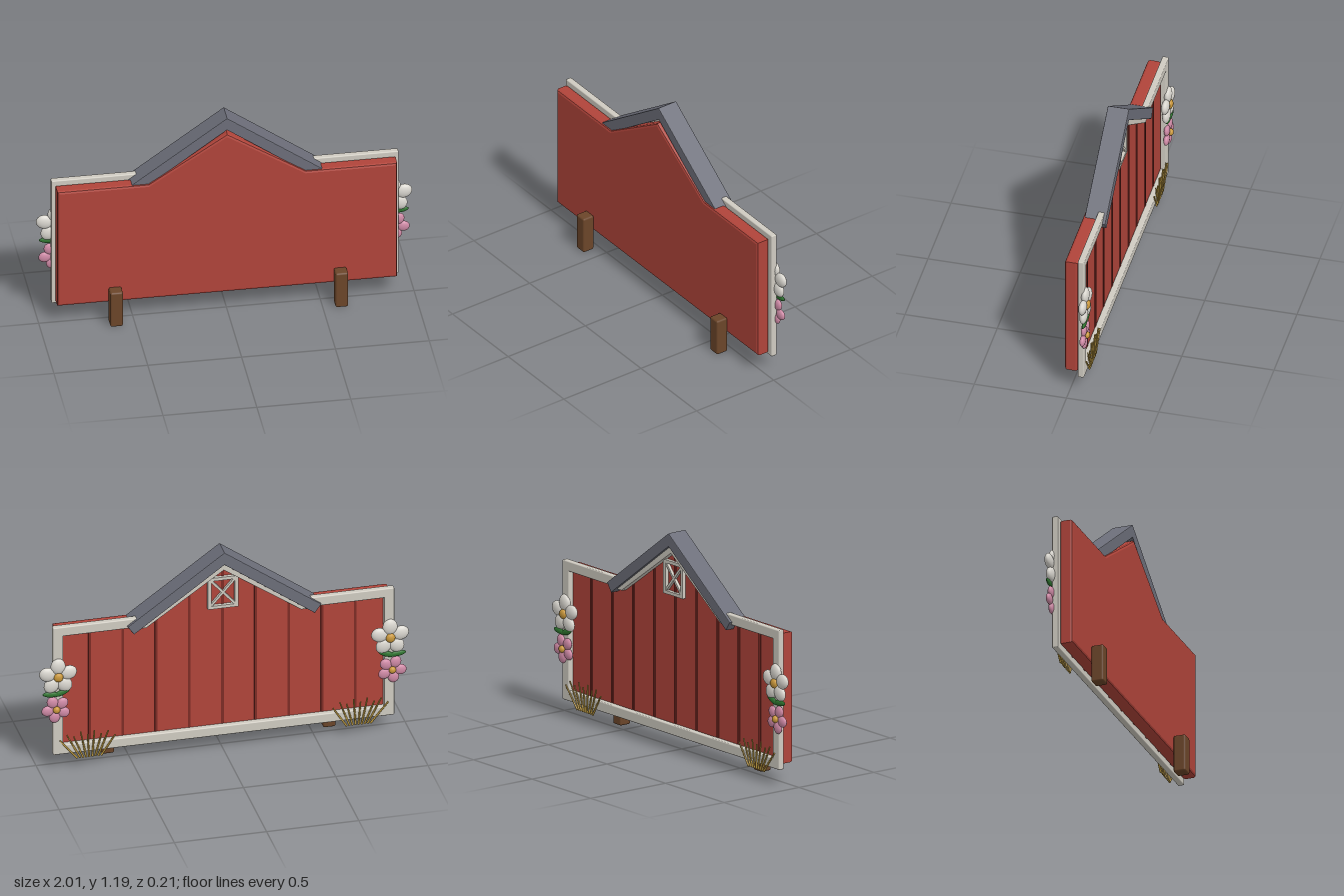
import * as THREE from 'three';
import { RoundedBoxGeometry } from 'three/addons/geometries/RoundedBoxGeometry.js';

const paint = (name, color) => {
  const m = new THREE.MeshStandardMaterial({ color });
  m.name = name;
  return m;
};

export function createModel() {
  const red = paint('barn red', 0xb0443a);
  const darkRed = paint('seam red', 0x7c2b25);
  const white = paint('trim white', 0xcfcbc1);
  const petalWhite = paint('petal white', 0xdad7d0);
  const grey = paint('roof grey', 0x6c6e79);
  const brown = paint('post brown', 0x6b4529);
  const pink = paint('petal pink', 0xcf8aa6);
  const gold = paint('flower gold', 0xc9973a);
  const green = paint('leaf green', 0x2f7530);
  const straw = paint('straw', 0xb8963f);

  const model = new THREE.Group();
  const add = (name, geometry, material, x = 0, y = 0, z = 0, parent = model) => {
    const mesh = new THREE.Mesh(geometry, material);
    mesh.name = name;
    mesh.position.set(x, y, z);
    parent.add(mesh);
    return mesh;
  };

  // Extrudes an outline between two depths with bevelled edges kept inside the outline
  const slab = (name, points, z0, z1, bevel, material) => {
    const shape = new THREE.Shape(points.map(([x, y]) => new THREE.Vector2(x, y)));
    const geometry = new THREE.ExtrudeGeometry(shape, {
      depth: z1 - z0 - 2 * bevel, bevelEnabled: true, bevelThickness: bevel,
      bevelSize: bevel, bevelOffset: -bevel, bevelSegments: 2,
    });
    return add(name, geometry, material, 0, 0, z0 + bevel);
  };
  const rail = (name, w, h, x, y) =>
    add(name, new RoundedBoxGeometry(w, h, 0.034, 2, 0.006), white, x, y, -0.058);

  // Main board with its gable
  slab('board', [[-0.905, 0.115], [0.905, 0.115], [0.905, 0.825], [0.42, 0.825],
    [0, 1.095], [-0.42, 0.825], [-0.905, 0.825]], -0.04, 0.035, 0.014, red);

  // Plank seams on the decorated side
  for (let i = -4; i <= 4; i++) {
    const x = i * 0.18;
    const top = Math.max(0.81, 1.07 - Math.abs(x) * 0.64);
    add('plankSeam', new THREE.BoxGeometry(0.014, top - 0.12, 0.008), darkRed, x, (top + 0.12) / 2, -0.041);
  }

  // White frame and gable trim
  rail('bottomRail', 1.85, 0.055, 0, 0.1175);
  for (const s of [-1, 1]) {
    rail('sideRail', 0.055, 0.76, s * 0.8975, 0.47);
    rail('topRail', 0.455, 0.055, s * 0.6975, 0.8225);
  }
  slab('gableTrim', [[-0.49, 0.785], [-0.42, 0.785], [0, 1.075], [0.42, 0.785],
    [0.49, 0.785], [0, 1.127]], -0.075, -0.038, 0.005, white);

  // Pitched roof
  slab('roof', [[0, 1.188], [-0.525, 0.812], [-0.49, 0.763], [0, 1.115],
    [0.49, 0.763], [0.525, 0.812]], -0.09, 0.025, 0.004, grey);

  // Loft window with crossed bars
  const loft = new THREE.Group();
  loft.name = 'loftWindow';
  loft.position.set(0, 0.935, -0.049);
  model.add(loft);
  const bar = (w, h, x, y, angle = 0) => {
    add('windowBar', new THREE.BoxGeometry(w, h, angle ? 0.016 : 0.022), white, x, y, 0, loft).rotation.z = angle;
  };
  for (const s of [-1, 1]) {
    bar(0.018, 0.185, s * 0.073, 0);
    bar(0.164, 0.018, 0, s * 0.0835);
    bar(0.013, 0.21, 0, 0, s * 0.72);
  }

  // Five-petalled flower facing the back
  const flower = (name, x, y, orbit, long, wide, start, s, material) => {
    const group = new THREE.Group();
    group.name = name;
    group.position.set(x, y, -0.077);
    model.add(group);
    for (let i = 0; i < 5; i++) {
      const a = start + (i * Math.PI * 2) / 5;
      const angle = s > 0 ? a : Math.PI - a;
      const petal = add('petal', new THREE.SphereGeometry(1, 16, 12), material,
        Math.cos(angle) * orbit, Math.sin(angle) * orbit, 0, group);
      petal.scale.set(long, wide, long * 0.46);
      petal.rotation.z = angle;
    }
    const core = add('flowerCentre', new THREE.SphereGeometry(1, 16, 12), gold, 0, 0, -0.012, group);
    core.scale.set(wide * 0.65, wide * 0.65, 0.016);
  };

  const up = new THREE.Vector3(0, 1, 0);
  for (const s of [-1, 1]) {
    // Support posts
    add('post', new RoundedBoxGeometry(0.068, 0.21, 0.068, 2, 0.01), brown, s * 0.6, 0.105, 0.068);

    // Flowers and leaves
    flower('whiteFlower', s * 0.9, 0.56, 0.06, 0.046, 0.04, Math.PI / 2, s, petalWhite);
    flower('pinkFlower', s * 0.91, 0.367, 0.046, 0.034, 0.03, -0.14, s, pink);
    for (const [x, y, tilt] of [[0.94, 0.46, 0.1], [0.88, 0.465, -0.35]]) {
      const leaf = add('leaf', new THREE.SphereGeometry(1, 14, 10), green, s * x, y, -0.082);
      leaf.scale.set(0.046, 0.016, 0.01);
      leaf.rotation.z = s * tilt;
    }

    // Fan of straw blades
    for (let i = 0; i < 9; i++) {
      const t = i / 4 - 1;
      const base = new THREE.Vector3(s * (0.73 + t * 0.065), 0.058, -0.074);
      const tip = new THREE.Vector3(s * (0.74 + t * 0.15), (i % 2 ? 0.215 : 0.195) - 0.02 * t * t, -0.079);
      const dir = tip.clone().sub(base);
      const mid = base.clone().add(tip).multiplyScalar(0.5);
      const blade = add('strawBlade', new THREE.CylinderGeometry(0.004, 0.006, dir.length(), 6), straw, mid.x, mid.y, mid.z);
      blade.quaternion.setFromUnitVectors(up, dir.normalize());
    }
  }
  return model;
}
